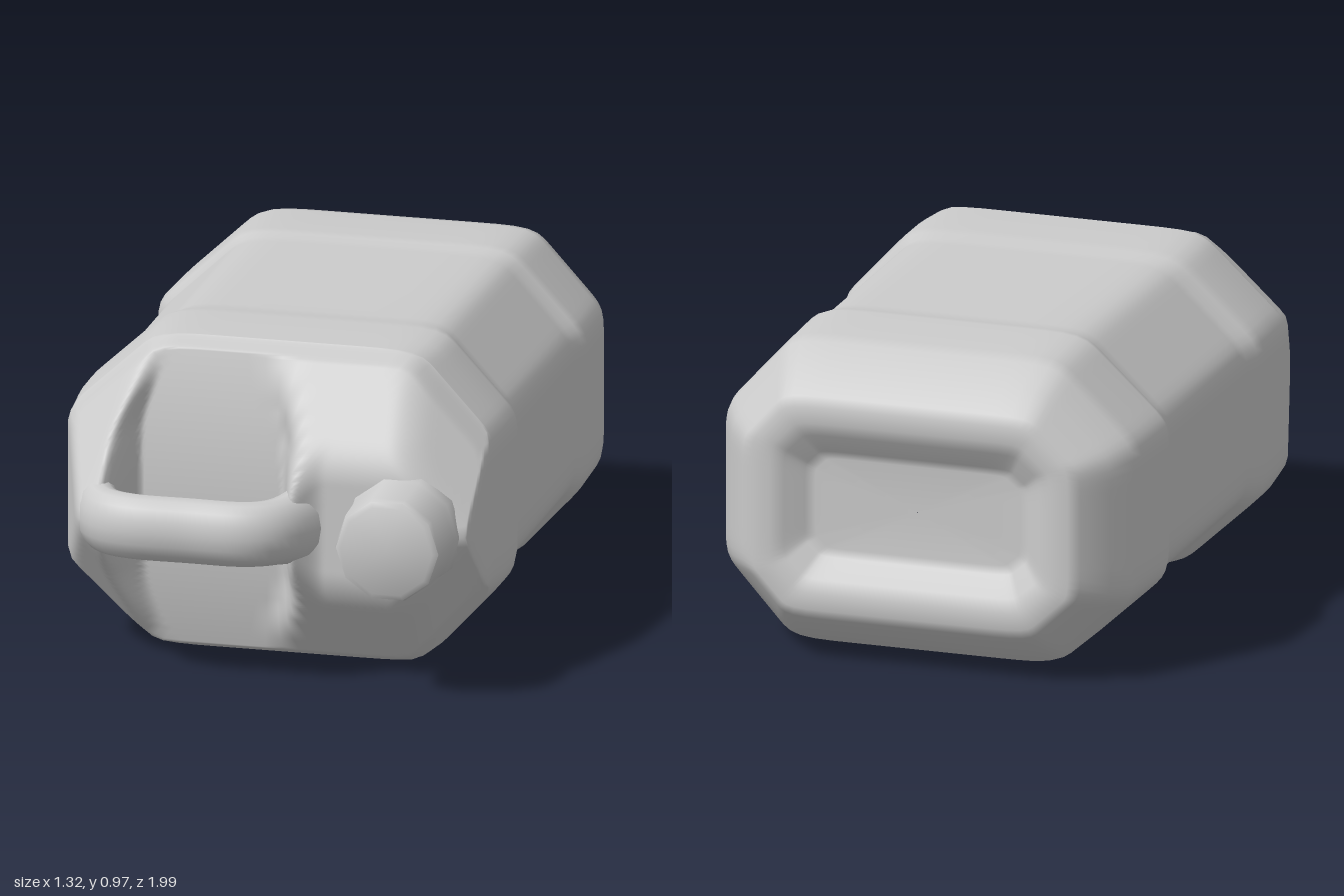
import * as THREE from 'three';
import { toCreasedNormals } from 'three/addons/utils/BufferGeometryUtils.js';

const MID_Y = 0.49;
const RIGHT_CHAMFER = 0.85; // chamfers are narrower on the +x side
const { lerp, smoothstep } = THREE.MathUtils;
const material = new THREE.MeshStandardMaterial({ color: 0xcccccc });

// Chamfered rectangle with softened corners, counter-clockwise seen from +z
function ring(hw, hh, cx, cy, perEdge = 14) {
  const rx = cx * RIGHT_CHAMFER;
  const c = [
    [hw, -hh + cy], [hw, hh - cy], [hw - rx, hh], [-hw + cx, hh],
    [-hw, hh - cy], [-hw, -hh + cy], [-hw + cx, -hh], [hw - rx, -hh],
  ];
  let pts = [];
  c.forEach((a, i) => {
    const b = c[(i + 1) % 8];
    for (let k = 0; k < perEdge; k++) {
      pts.push([lerp(a[0], b[0], k / perEdge), lerp(a[1], b[1], k / perEdge)]);
    }
  });
  for (let pass = 0; pass < 3; pass++) {
    pts = pts.map((p, i) => {
      const q = pts[(i + pts.length - 1) % pts.length], r = pts[(i + 1) % pts.length];
      return [(q[0] + 2 * p[0] + r[0]) / 4, (q[1] + 2 * p[1] + r[1]) / 4];
    });
  }
  return pts;
}

// Skin a list of equal-length rings of [x, y, z], back to front
function loft(rings) {
  const n = rings[0].length, index = [];
  for (let i = 0; i < rings.length - 1; i++) {
    for (let j = 0; j < n; j++) {
      const a = i * n + j, b = i * n + (j + 1) % n;
      index.push(a, b, b + n, a, b + n, a + n);
    }
  }
  const g = new THREE.BufferGeometry();
  g.setAttribute('position', new THREE.Float32BufferAttribute(rings.flat(2), 3));
  g.setIndex(index);
  g.computeVertexNormals();
  return g;
}

function smoothMin(a, b, k = 0.06) {
  const h = Math.max(k - Math.abs(a - b), 0) / k;
  return Math.min(a, b) - h * h * k * 0.25;
}

// Front shoulder: roof-like slopes up to a ridge, with a scoop behind the handle
const RIM = { z: 0.52, hw: 0.65, hh: 0.483, cx: 0.27, cy: 0.25 };
function shoulderZ(x, y) {
  const { z: z0, hw, hh, cy } = RIM;
  const cx = RIM.cx * (x > 0 ? RIGHT_CHAMFER : 1);
  const d = Math.abs(y);
  const corner = (1 - (Math.abs(x) - hw + cx) / cx - (d - hh + cy) / cy) * cx * cy / Math.hypot(cx, cy);
  const ridge = lerp(0.9, 0.805, smoothstep(x, 0.06, 0.2));
  const bevel = z0 + 0.05 * smoothstep(Math.min(hh - d, corner), 0, 0.035);
  let z = smoothMin(ridge, bevel + 0.85 * (hh - d));
  z = smoothMin(z, bevel + 1.4 * corner);
  z = smoothMin(z, z0 + 0.02 + 3.1 * (x + hw));
  z = smoothMin(z, z0 + 0.02 + 18 * (hw - x));
  const floor = 0.645 - 0.07 * (d / hh) ** 2;
  const inset = 0.05 * smoothstep(d, 0.2, 0.42);
  const scoop = smoothstep(x, -0.47 + inset, -0.4 + inset) * (1 - smoothstep(x, 0.03 - inset, 0.12 - inset));
  return Math.max(z0, lerp(z, Math.min(z, floor), scoop));
}

function bodyGeometry() {
  // z, half width, half height, chamfer x, chamfer y
  const stations = [
    [-0.93, 0.001, 0.001, 0.0003, 0.0003],
    [-0.93, 0.32, 0.14, 0.05, 0.04],
    [-0.94, 0.35, 0.165, 0.06, 0.05],
    [-0.985, 0.4, 0.225, 0.08, 0.07],
    [-1, 0.44, 0.265, 0.1, 0.09],
    [-1, 0.495, 0.315, 0.13, 0.12],
    [-0.985, 0.53, 0.345, 0.16, 0.15],
    [-0.9, 0.595, 0.41, 0.22, 0.2],
    [-0.82, 0.64, 0.463, 0.25, 0.235],
    [-0.77, 0.65, 0.475, 0.26, 0.245],
    [-0.56, 0.658, 0.482, 0.27, 0.25],
    [-0.53, 0.65, 0.479, 0.27, 0.25],
    [-0.5, 0.634, 0.473, 0.265, 0.25],
    [-0.46, 0.63, 0.471, 0.26, 0.245],
    [0.18, 0.63, 0.472, 0.26, 0.245],
    [0.22, 0.634, 0.474, 0.265, 0.25],
    [0.26, 0.654, 0.481, 0.27, 0.25],
    [0.3, 0.66, 0.484, 0.265, 0.245],
    [0.42, 0.658, 0.485, 0.265, 0.245],
  ];
  const rings = stations.map(([z, ...s]) => ring(...s).map(([x, y]) => [x, y + MID_Y, z]));
  const rim = ring(RIM.hw, RIM.hh, RIM.cx, RIM.cy);
  const steps = 70;
  for (let i = 0; i <= steps; i++) {
    const t = 1 - (i / steps) ** 1.5;
    rings.push(rim.map(([x, y]) => [x * t, y * t + MID_Y, i ? shoulderZ(x * t, y * t) : RIM.z]));
  }
  return loft(rings);
}

// Flattened bar that widens where it grows out of the shoulder
function handleGeometry() {
  const path = new THREE.CatmullRomCurve3([
    [-0.54, 0.56], [-0.52, 0.7], [-0.49, 0.81], [-0.44, 0.89], [-0.36, 0.922], [-0.18, 0.925],
    [-0.01, 0.92], [0.065, 0.88], [0.125, 0.79], [0.19, 0.66],
  ].map(([x, z]) => new THREE.Vector3(x, 0, z)));
  const g = new THREE.TubeGeometry(path, 48, 0.067, 16);
  const p = g.attributes.position;
  for (let i = 0; i < p.count; i++) {
    const flare = 1 - smoothstep(p.getZ(i), 0.62, 0.9);
    p.setY(i, p.getY(i) * (1.5 + 0.9 * flare) + MID_Y);
  }
  g.computeVertexNormals();
  return toCreasedNormals(g, 1.2);
}

// Ten-sided tapered cap with a softened front edge
function capGeometry() {
  const profile = [
    [0.18, 0.77], [0.174, 0.81], [0.168, 0.83], [0.163, 0.955], [0.157, 0.975], [0.14, 0.985], [0, 0.985],
  ].map(([r, z]) => new THREE.Vector2(r, z));
  const g = new THREE.LatheGeometry(profile, 10, Math.PI / 10);
  g.rotateX(Math.PI / 2);
  g.translate(0.438, MID_Y, 0);
  return toCreasedNormals(g, 0.7);
}

export function createModel() {
  const group = new THREE.Group();
  group.name = 'canister';
  const parts = { body: bodyGeometry(), handle: handleGeometry(), cap: capGeometry() };
  for (const [name, geometry] of Object.entries(parts)) {
    const mesh = new THREE.Mesh(geometry, material);
    mesh.name = name;
    group.add(mesh);
  }
  return group;
}
